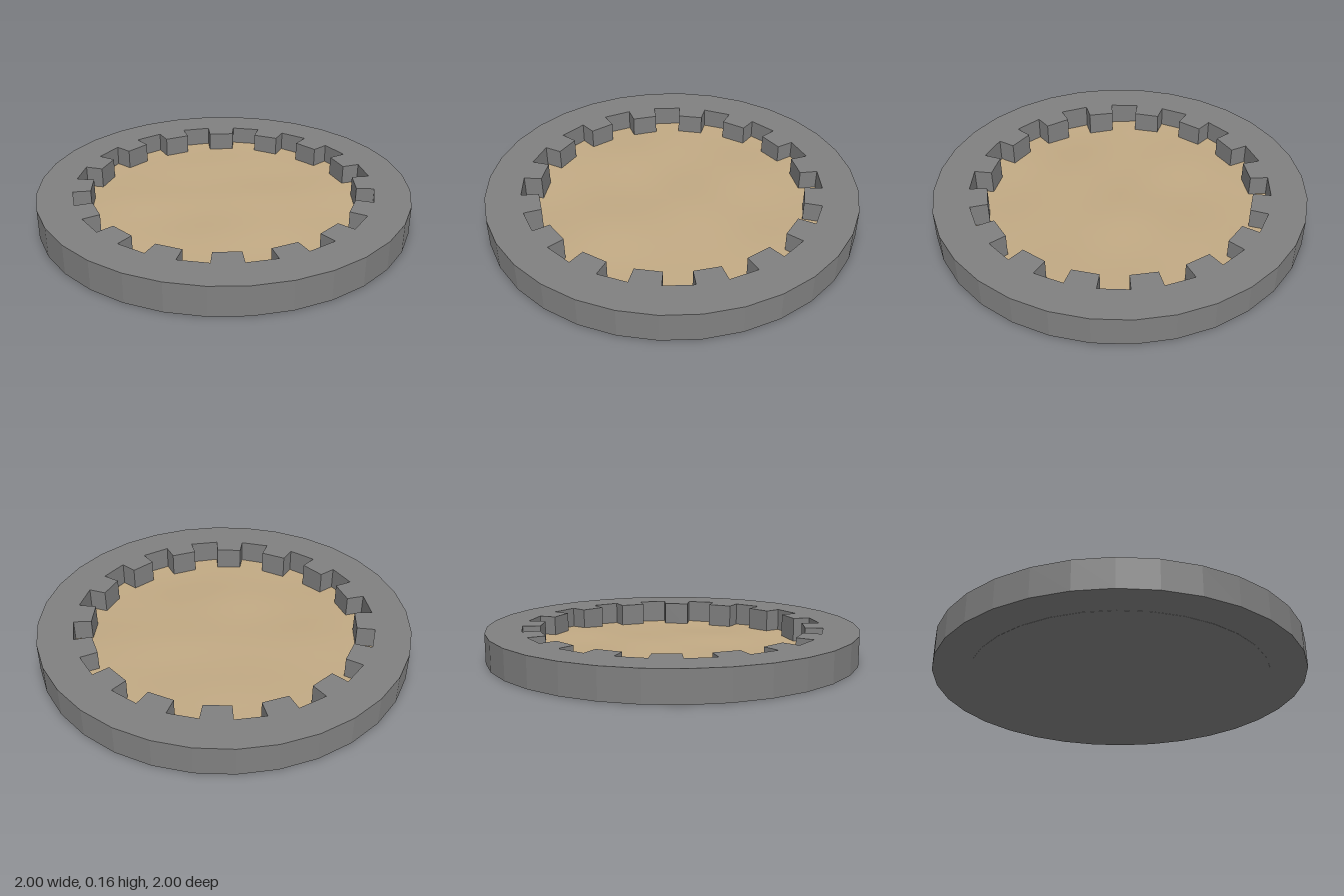
import * as THREE from 'three';
import { mergeVertices } from 'three/addons/utils/BufferGeometryUtils.js';

const SEGMENTS = 32, STEP = (Math.PI * 2) / SEGMENTS;
const OUTER = 1, GAP = 0.81, TOOTH = 0.715, HEIGHT = 0.16;

// Point on a circle, clockwise from the back as seen from above
const polar = (r, k) => new THREE.Vector2(r * Math.sin(k * STEP), r * Math.cos(k * STEP));

// Gentle dunes, a little higher towards the back left
function sandHeight(x, z) {
  return 0.047 + 0.012 * (x - z)
    + 0.006 * Math.sin(3.1 * x + 1.2) * Math.cos(4.3 * z - 0.4)
    + 0.005 * Math.sin(9 * z + 2.5 * x) * Math.cos(3 * x + 1)
    + 0.003 * Math.sin(11 * x - 3 * z) * Math.sin(7 * z + 1);
}

export function createModel() {
  const group = new THREE.Group();
  const stone = new THREE.MeshStandardMaterial({ color: 0x808080, flatShading: true });
  const sand = new THREE.MeshStandardMaterial({ color: 0xc2aa84 });

  const add = (name, geometry, material) => {
    const mesh = new THREE.Mesh(geometry, material);
    mesh.name = name;
    group.add(mesh);
  };

  // Faceted ring whose inner edge alternates between teeth and gaps;
  // the outline runs counter-clockwise and the hole clockwise
  const outline = [], inner = [];
  for (let k = 0; k < SEGMENTS; k++) {
    const r = k % 2 === 0 ? TOOTH : GAP;
    outline.push(polar(OUTER, -k));
    inner.push(polar(r, k), polar(r, k + 1));
  }
  const shape = new THREE.Shape(outline);
  shape.holes.push(new THREE.Path(inner));
  const ring = new THREE.ExtrudeGeometry(shape, { depth: HEIGHT - 0.001, bevelEnabled: false });
  ring.rotateX(-Math.PI / 2).translate(0, 0.001, 0);
  add('toothedRing', ring, stone);

  // Thin plate closing the underside
  const plate = new THREE.CylinderGeometry(GAP, GAP, 0.01, SEGMENTS);
  add('basePlate', plate.translate(0, 0.005, 0), stone);

  // Uneven sand surface inside the ring
  let ground = new THREE.RingGeometry(0, GAP, SEGMENTS, 12);
  ground.rotateX(-Math.PI / 2);
  const p = ground.attributes.position;
  for (let i = 0; i < p.count; i++) p.setY(i, sandHeight(p.getX(i), p.getZ(i)));
  ground.deleteAttribute('uv');
  ground.deleteAttribute('normal');
  ground = mergeVertices(ground);
  ground.computeVertexNormals();
  add('sandFloor', ground, sand);

  return group;
}
